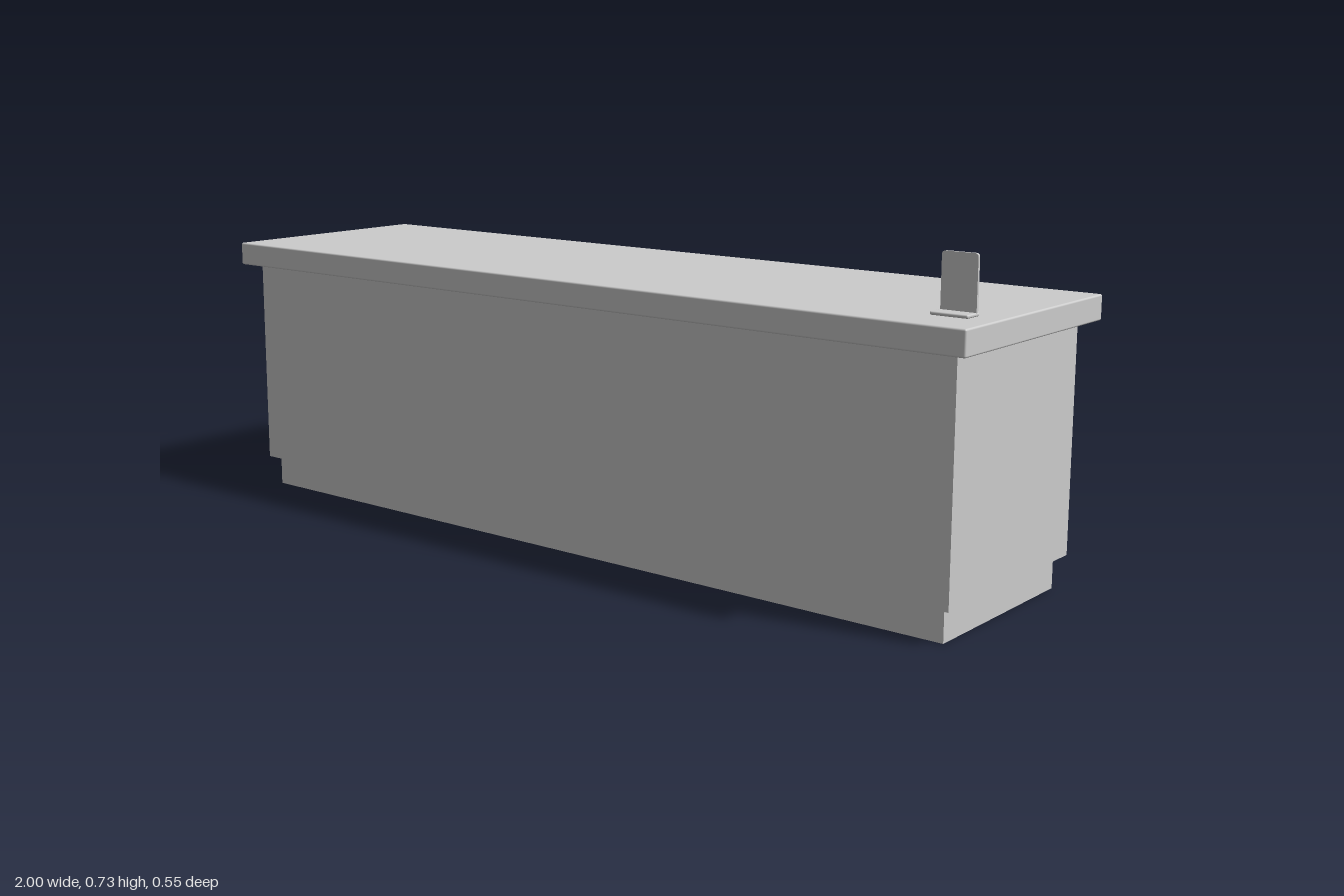
import * as THREE from 'three';
import { RoundedBoxGeometry } from 'three/addons/geometries/RoundedBoxGeometry.js';

export function createModel() {
  const model = new THREE.Group();
  const grey = new THREE.MeshStandardMaterial({ color: 0xcccccc, side: THREE.DoubleSide });
  grey.name = 'light grey';

  const add = (name, geometry, x, y, z, parent = model) => {
    const mesh = new THREE.Mesh(geometry, grey);
    mesh.name = name;
    mesh.position.set(x, y, z);
    parent.add(mesh);
    return mesh;
  };
  const rounded = (name, w, h, d, r, x, y, z) =>
    add(name, new RoundedBoxGeometry(w, h, d, 3, r), x, y, z);

  // Four thin walls, open above and below
  const walls = (name, w, d, y0, y1) => {
    const group = new THREE.Group();
    group.name = name;
    const h = y1 - y0, y = (y0 + y1) / 2;
    for (const s of [1, -1]) {
      add(name + 'LongWall', new THREE.PlaneGeometry(w, h), 0, y, s * d / 2, group).rotation.y = s > 0 ? 0 : Math.PI;
      add(name + 'EndWall', new THREE.PlaneGeometry(d, h), s * w / 2, y, 0, group).rotation.y = s * Math.PI / 2;
    }
    model.add(group);
  };

  const rectangle = (path, w, d) => path.moveTo(-w / 2, -d / 2).lineTo(w / 2, -d / 2)
    .lineTo(w / 2, d / 2).lineTo(-w / 2, d / 2).closePath();

  // Hollow cabinet on a recessed, open-bottomed plinth
  walls('plinth', 1.89, 0.44, 0, 0.07);
  walls('cabinet', 1.93, 0.48, 0.07, 0.556);
  const ledge = rectangle(new THREE.Shape(), 1.93, 0.48);
  ledge.holes.push(rectangle(new THREE.Path(), 1.89, 0.44));
  add('cabinetLedge', new THREE.ShapeGeometry(ledge), 0, 0.07, 0).rotation.x = Math.PI / 2;

  // Counter slab
  rounded('countertop', 2, 0.053, 0.548, 0.004, 0, 0.5815, 0.001);

  // Drawers with horizontal bar handles
  for (const x of [-0.645, 0, 0.645]) {
    rounded('drawer', 0.6, 0.095, 0.014, 0.005, x, 0.4845, -0.247);
    rounded('drawerHandle', 0.115, 0.014, 0.014, 0.006, x, 0.485, -0.261);
  }

  // Lock on the middle drawer
  add('drawerLock', new THREE.CylinderGeometry(0.009, 0.009, 0.008, 24), 0, 0.517, -0.258).rotation.x = Math.PI / 2;

  // Doors in two pairs, each with its handle beside the shared gap
  for (const pair of [-0.482, 0.482]) {
    for (const s of [-1, 1]) {
      rounded('door', 0.472, 0.316, 0.014, 0.005, pair + s * 0.241, 0.25, -0.247);
      rounded('doorHandle', 0.016, 0.06, 0.015, 0.006, pair + s * 0.042, 0.292, -0.2605);
    }
  }

  // Small upright panel on a foot plate
  rounded('standFoot', 0.08, 0.007, 0.044, 0.003, 0.907, 0.6115, 0.153);
  const panel = new THREE.Shape();
  panel.moveTo(-0.038, 0).lineTo(0.038, 0).lineTo(0.038, 0.105).quadraticCurveTo(0.038, 0.113, 0.03, 0.113)
    .lineTo(-0.03, 0.113).quadraticCurveTo(-0.038, 0.113, -0.038, 0.105).closePath();
  add('standPanel', new THREE.ExtrudeGeometry(panel, { depth: 0.006, bevelEnabled: false }), 0.908, 0.612, 0.135);

  return model;
}
